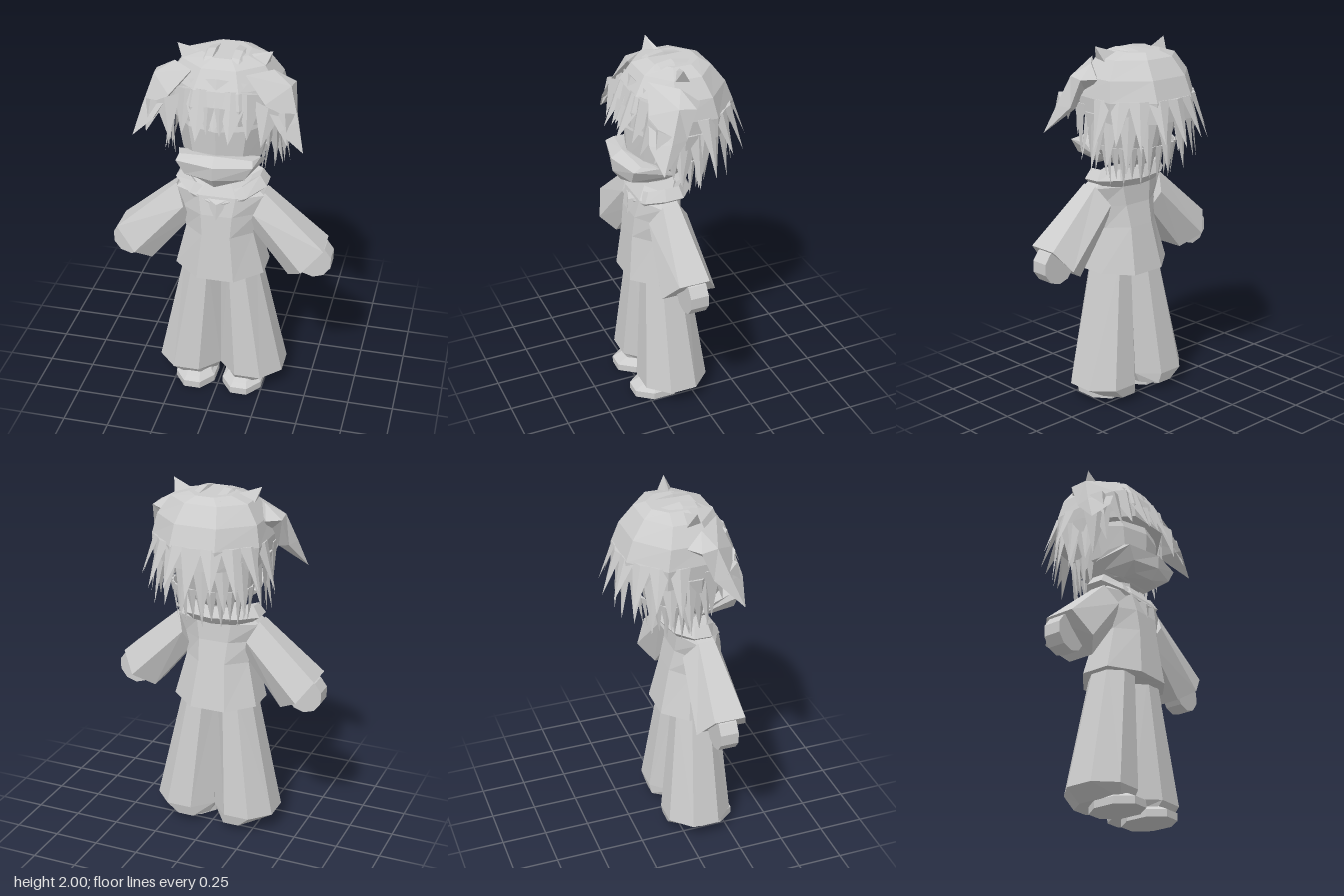
import * as THREE from 'three';

const grey = new THREE.MeshStandardMaterial({ color: 0xcccccc, flatShading: true, side: THREE.DoubleSide });
grey.name = 'plain grey';

// Elliptical cross-section, starting at the front and turning towards +x
function ring(y, rx, zBack, zFront, n = 8, cx = 0, turn = 0, dip = () => 0) {
  return Array.from({ length: n }, (_, i) => {
    const a = ((i + turn) / n) * Math.PI * 2;
    return [cx + Math.sin(a) * rx, y - dip(a), (zBack + zFront) / 2 + Math.cos(a) * (zFront - zBack) / 2];
  });
}

// Unindexed geometry from a list of triangles
function faces(tris) {
  const g = new THREE.BufferGeometry();
  g.setAttribute('position', new THREE.Float32BufferAttribute(tris.flat(2), 3));
  g.computeVertexNormals();
  return g;
}

// Skin between cross-sections, with optional end caps
function loft(rings, capStart = true, capEnd = true) {
  const tris = [], n = rings[0].length;
  for (let k = 0; k < rings.length - 1; k++) {
    for (let i = 0; i < n; i++) {
      const j = (i + 1) % n, lo = rings[k], hi = rings[k + 1];
      tris.push([lo[i], lo[j], hi[j]], [lo[i], hi[j], hi[i]]);
    }
  }
  const end = rings[rings.length - 1];
  for (let i = 1; i < n - 1; i++) {
    if (capStart) tris.push([rings[0][0], rings[0][i + 1], rings[0][i]]);
    if (capEnd) tris.push([end[0], end[i], end[i + 1]]);
  }
  return faces(tris);
}

// Tapered lock: two root corners, a raised ridge and a tip
const lock = (a, b, ridge, tip) => [[a, tip, ridge], [ridge, tip, b], [b, tip, a], [a, ridge, b]];

function mirrored(geo) {
  const g = (geo.index ? geo.toNonIndexed() : geo.clone()).scale(-1, 1, 1), p = g.attributes.position;
  for (let i = 0; i < p.count; i += 3) {
    const b = [p.getX(i + 1), p.getY(i + 1), p.getZ(i + 1)];
    p.setXYZ(i + 1, p.getX(i + 2), p.getY(i + 2), p.getZ(i + 2));
    p.setXYZ(i + 2, ...b);
  }
  g.computeVertexNormals();
  return g;
}

export function createModel() {
  const model = new THREE.Group();
  model.name = 'figure';
  const add = (name, geo) => {
    const m = new THREE.Mesh(geo, grey);
    m.name = name;
    model.add(m);
  };
  const pair = (name, geo) => {
    add('left' + name, geo);
    add('right' + name, mirrored(geo));
  };

  // Wide trousers and shoes
  pair('TrouserLeg', loft([
    ring(0.04, 0.12, -0.085, 0.25, 8, 0.14, 0.5),
    ring(0.1, 0.191, -0.1, 0.295, 8, 0.177, 0.5),
    ring(0.8, 0.11, -0.015, 0.24, 8, 0.1, 0.5),
  ]));
  pair('Shoe', loft([
    ring(0, 0.12, 0.01, 0.33, 8, 0.135, 0.5),
    ring(0.04, 0.12, 0.01, 0.33, 8, 0.135, 0.5),
    ring(0.055, 0.1, 0.03, 0.3, 8, 0.135, 0.5),
    ring(0.09, 0.08, 0.04, 0.22, 8, 0.135, 0.5),
  ]));

  // Flared top with sloping shoulders
  add('torso', loft([
    ring(0.76, 0.265, -0.1, 0.325, 8, 0, 0.5, a => 0.02 * Math.cos(a) ** 2),
    ring(1.0, 0.2, -0.04, 0.295, 8, 0, 0.5),
    ring(1.12, 0.22, -0.01, 0.28, 8, 0, 0.5),
    ring(1.225, 0.26, 0.0, 0.255, 8, 0, 0.5),
    ring(1.29, 0.17, 0.02, 0.21, 8, 0, 0.5),
  ]));

  // Collar, lower at the front, with a pointed flap
  const dip = a => 0.09 * Math.max(0, Math.cos(a)) ** 3;
  add('collar', loft([
    ring(1.23, 0.2, -0.02, 0.25, 10, 0, 0, dip),
    ring(1.275, 0.26, -0.055, 0.265, 10, 0, 0, dip),
    ring(1.33, 0.22, -0.02, 0.23, 10, 0, 0, dip),
    ring(1.27, 0.13, 0.02, 0.19, 10, 0, 0, dip),
  ], false, true));
  add('collarFlap', faces(lock([-0.07, 1.22, 0.24], [0.07, 1.22, 0.24], [0, 1.19, 0.27], [0, 1.1, 0.28])));
  add('neck', new THREE.CylinderGeometry(0.06, 0.06, 0.16, 6).translate(0, 1.3, 0.1));

  // Hexagonal sleeves and flat round hands
  pair('Sleeve', loft([
    [[0.57, 0.95, 0.05], [0.57, 0.95, 0.22], [0.46, 0.83, 0.27], [0.38, 0.77, 0.2], [0.38, 0.77, 0.05], [0.49, 0.84, -0.02]],
    [[0.24, 1.24, 0.08], [0.24, 1.24, 0.17], [0.19, 1.13, 0.23], [0.16, 1.04, 0.18], [0.16, 1.04, 0.07], [0.19, 1.14, 0.01]],
  ]));
  pair('Hand', new THREE.CylinderGeometry(0.1, 0.1, 0.1, 10).rotateX(Math.PI / 2).translate(0.51, 0.855, 0.12));

  // Head and projecting jaw, tapering towards the back
  add('head', loft([
    ring(1.35, 0.12, -0.06, 0.24, 10),
    ring(1.44, 0.22, -0.14, 0.27, 10),
    ring(1.62, 0.26, -0.2, 0.28, 10),
    ring(1.82, 0.22, -0.15, 0.22, 10),
  ]));
  const jawRing = (y, rise, w, side, front, yBack, back) => [
    [0, y + rise, front], [w * 0.88, y, side], [w, yBack, back], [-w, yBack, back], [-w * 0.88, y, side]];
  add('jaw', loft([
    jawRing(1.34, -0.02, 0.11, 0.27, 0.31, 1.33, 0.2),
    jawRing(1.38, 0, 0.18, 0.31, 0.355, 1.37, 0.12),
    jawRing(1.455, 0, 0.23, 0.315, 0.36, 1.41, 0.1),
    jawRing(1.475, 0.02, 0.22, 0.27, 0.3, 1.46, 0.18),
  ]));

  // Eight-sided hair cap, raised a little above the face
  const brow = a => -0.06 * Math.max(0, Math.cos(a));
  add('hairCap', loft([
    ring(1.62, 0.32, -0.305, 0.32, 8, 0, 0.5, brow),
    ring(1.73, 0.33, -0.3, 0.315, 8, 0, 0.5, a => brow(a) * 0.5),
    ring(1.84, 0.305, -0.255, 0.285, 8, 0, 0.5),
    ring(1.935, 0.235, -0.18, 0.22, 8, 0, 0.5),
    ring(1.965, 0.13, -0.12, 0.14, 8, 0, 0.5),
  ]));
  // Raised strands either side of the parting
  const crestCut = (z, y) => [[0.035, y - 0.04, z], [0.13, y - 0.04, z], [0.09, y - 0.005, z], [0.05, y, z]];
  pair('Crest', loft([crestCut(-0.12, 1.955), crestCut(0.04, 1.982), crestCut(0.12, 1.97), crestCut(0.19, 1.935)]));

  // Rows of hanging locks round the back and sides
  const at = (deg, rx, rz, y) => {
    const a = THREE.MathUtils.degToRad(deg);
    return [Math.sin(a) * rx, y, Math.cos(a) * rz];
  };
  const row = (name, from, to, step, root, tip) => {
    const tris = [];
    for (let d = from; d <= to; d += step) {
      const [rx, rz, y] = root, [tx, tz, ty] = tip, h = step * 0.58;
      const lift = Math.abs(d - 180) % (2 * step) < step ? 0 : 0.03;
      tris.push(...lock(at(d - h, rx, rz, y), at(d + h, rx, rz, y),
        at(d, rx + 0.012, rz + 0.012, y), at(d, tx, tz, ty + lift)));
    }
    add(name, faces(tris));
  };
  row('upperLocks', 100, 260, 20, [0.305, 0.283, 1.74], [0.385, 0.37, 1.49]);
  row('middleLocks', 70, 290, 20, [0.295, 0.265, 1.66], [0.34, 0.29, 1.36]);
  row('napeLocks', 75, 285, 15, [0.22, 0.17, 1.47], [0.2, 0.145, 1.26]);

  // Long locks beside the face
  pair('CheekLocks', faces([
    ...lock([0.22, 1.84, 0.22], [0.31, 1.8, 0.08], [0.28, 1.82, 0.18], [0.26, 1.5, 0.2]),
    ...lock([0.24, 1.7, 0.2], [0.31, 1.7, 0.08], [0.3, 1.7, 0.17], [0.29, 1.42, 0.13]),
    ...lock([0.26, 1.66, 0.13], [0.31, 1.66, 0.0], [0.31, 1.66, 0.07], [0.27, 1.35, 0.07]),
    ...lock([0.27, 1.66, 0.03], [0.31, 1.66, -0.09], [0.32, 1.66, -0.03], [0.31, 1.35, 0.0]),
  ]));

  // Fringe
  add('centreFringe', faces(lock([-0.15, 1.88, 0.22], [0.15, 1.88, 0.22], [0, 1.9, 0.24], [0, 1.65, 0.335])));
  pair('Fringe', faces([
    ...lock([0, 1.84, 0.25], [0.18, 1.84, 0.23], [0.08, 1.85, 0.27], [0.085, 1.6, 0.365]),
    ...lock([-0.02, 1.76, 0.28], [0.08, 1.76, 0.28], [0.03, 1.77, 0.31], [0.035, 1.63, 0.34]),
    ...lock([0.09, 1.84, 0.24], [0.24, 1.82, 0.19], [0.16, 1.84, 0.26], [0.17, 1.61, 0.31]),
  ]));

  // Drooping side tufts with split ends
  pair('SideTuft', loft([
    [[0.3, 1.84, -0.01], [0.2, 1.8, 0.1], [0.14, 1.92, 0.205], [0.26, 1.91, 0.08]],
    [[0.37, 1.84, 0.04], [0.26, 1.74, 0.12], [0.25, 1.79, 0.25], [0.36, 1.85, 0.13]],
    [[0.39, 1.69, 0.1], [0.31, 1.66, 0.16], [0.33, 1.66, 0.28], [0.41, 1.69, 0.19]],
    Array(4).fill([0.45, 1.54, 0.25]),
  ]));
  pair('TuftEnds', faces([
    ...lock([0.19, 1.8, 0.23], [0.33, 1.74, 0.23], [0.27, 1.78, 0.26], [0.24, 1.57, 0.295]),
    ...lock([0.27, 1.74, 0.23], [0.4, 1.72, 0.17], [0.35, 1.75, 0.24], [0.37, 1.58, 0.27]),
  ]));

  // Small pointed tufts on the crown
  pair('CrownTuft', loft([
    [[0.11, 1.94, 0.05], [0.2, 1.89, 0.11], [0.22, 1.9, 0.0], [0.13, 1.96, 0.03]],
    Array(4).fill([0.25, 2, 0.06]),
  ]));

  return model;
}
